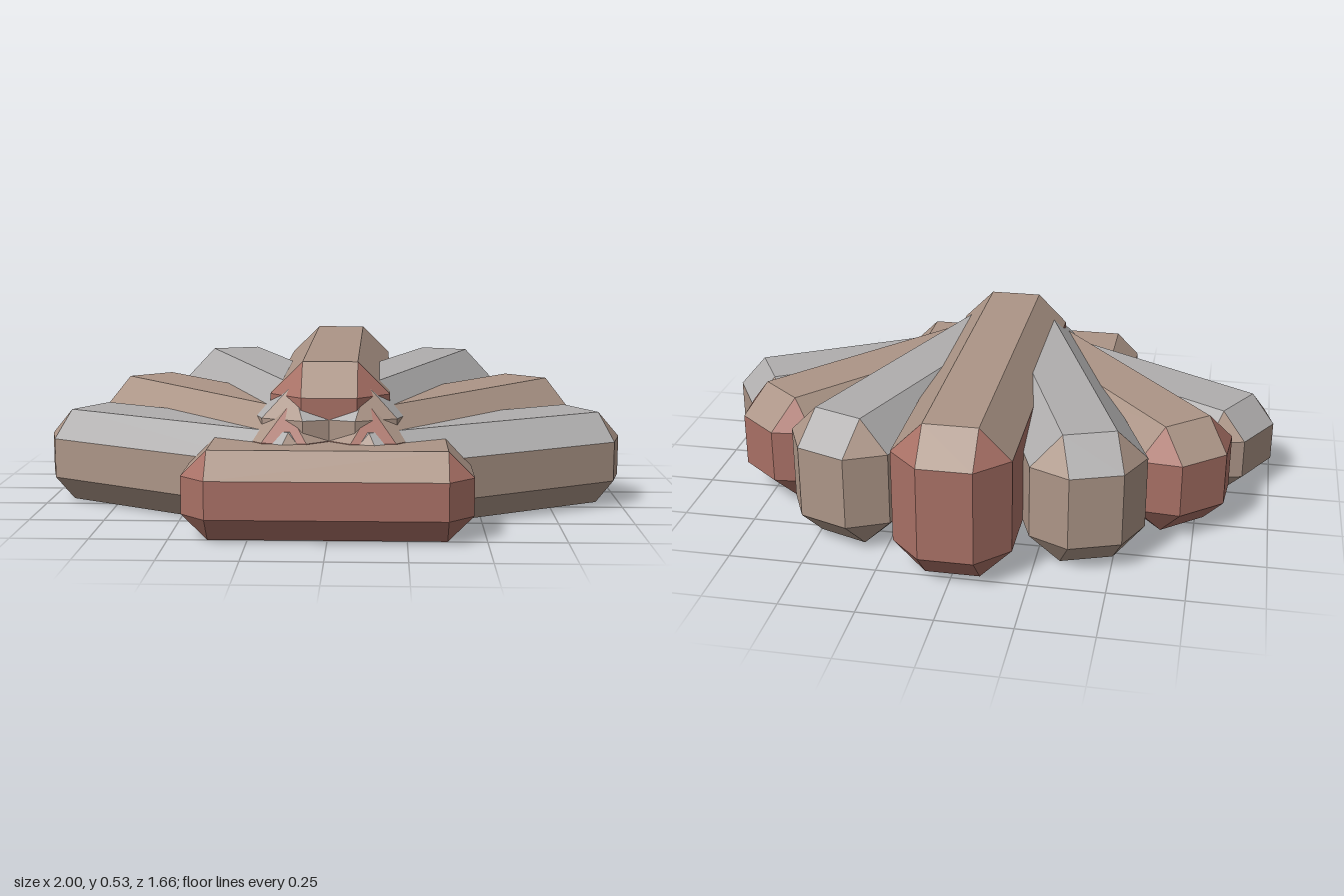
import * as THREE from 'three';
import { ConvexGeometry } from 'three/addons/geometries/ConvexGeometry.js';

const HUB_Z = 0.585; // point the fan spreads from

function material(name, color) {
  const m = new THREE.MeshStandardMaterial({ color });
  m.name = name;
  return m;
}

// Box with every edge chamfered, standing on y = 0, centred on x, from z0 to z1.
// Group 0 holds the upward faces, group 1 everything else.
function chamferedBox(width, height, z0, z1, c) {
  const half = [width / 2, height / 2, (z1 - z0) / 2];
  const points = [];
  for (const sx of [-1, 1]) for (const sy of [-1, 1]) for (const sz of [-1, 1]) {
    for (let full = 0; full < 3; full++) {
      const p = half.map((h, i) => (i === full ? h : h - c));
      points.push(new THREE.Vector3(sx * p[0], sy * p[1] + half[1], sz * p[2] + (z0 + z1) / 2));
    }
  }
  const hull = new ConvexGeometry(points).toNonIndexed?.call
    ? new ConvexGeometry(points) : null;
  const pos = hull.attributes.position;
  const top = [], rest = [];
  const a = new THREE.Vector3(), b = new THREE.Vector3(), d = new THREE.Vector3();
  for (let i = 0; i < pos.count; i += 3) {
    a.fromBufferAttribute(pos, i);
    b.fromBufferAttribute(pos, i + 1);
    d.fromBufferAttribute(pos, i + 2);
    const n = b.clone().sub(a).cross(d.clone().sub(a)).normalize();
    (n.y > 0.65 ? top : rest).push(...a.toArray(), ...b.toArray(), ...d.toArray());
  }
  const geo = new THREE.BufferGeometry();
  geo.setAttribute('position', new THREE.Float32BufferAttribute([...top, ...rest], 3));
  geo.computeVertexNormals();
  geo.addGroup(0, top.length / 3, 0);
  geo.addGroup(top.length / 3, rest.length / 3, 1);
  return geo;
}

export function createModel() {
  const model = new THREE.Group();
  model.name = 'fanOfBlocks';
  const grey = material('grey', 0xb0aeae);
  const tan = material('tan', 0xac9587);
  const red = material('dullRed', 0xa87065);

  function add(name, geometry, mats, angle = 0, z = 0) {
    const mesh = new THREE.Mesh(geometry, mats);
    mesh.name = name;
    mesh.rotation.y = -angle * Math.PI / 180;
    mesh.position.z = z;
    model.add(mesh);
  }

  // Ribs of the fan: lower and shorter towards the sides
  const ribs = [
    { name: 'centreRib', angle: 0, width: 0.39, height: 0.53, length: 1.415, chamfer: 0.105, mats: [tan, red] },
    { name: 'innerRib', angle: 20, width: 0.388, height: 0.46, length: 1.316, chamfer: 0.105, mats: [grey, tan] },
    { name: 'middleRib', angle: 40, width: 0.388, height: 0.39, length: 1.205, chamfer: 0.103, mats: [tan, red] },
    { name: 'outerRib', angle: 60, width: 0.38, height: 0.32, length: 1.098, chamfer: 0.092, mats: [grey, tan] },
  ];
  for (const r of ribs) {
    const geo = chamferedBox(r.width, r.height, -r.length, 0, r.chamfer);
    if (r.angle === 0) add(r.name, geo, r.mats, 0, HUB_Z);
    else {
      add(r.name + 'Left', geo, r.mats, r.angle, HUB_Z);
      add(r.name + 'Right', geo, r.mats, -r.angle, HUB_Z);
    }
  }

  // Crosswise block at the front
  add('frontBlock', chamferedBox(0.915, 0.285, 0.34, 0.83, 0.082), [tan, red]);
  return model;
}
